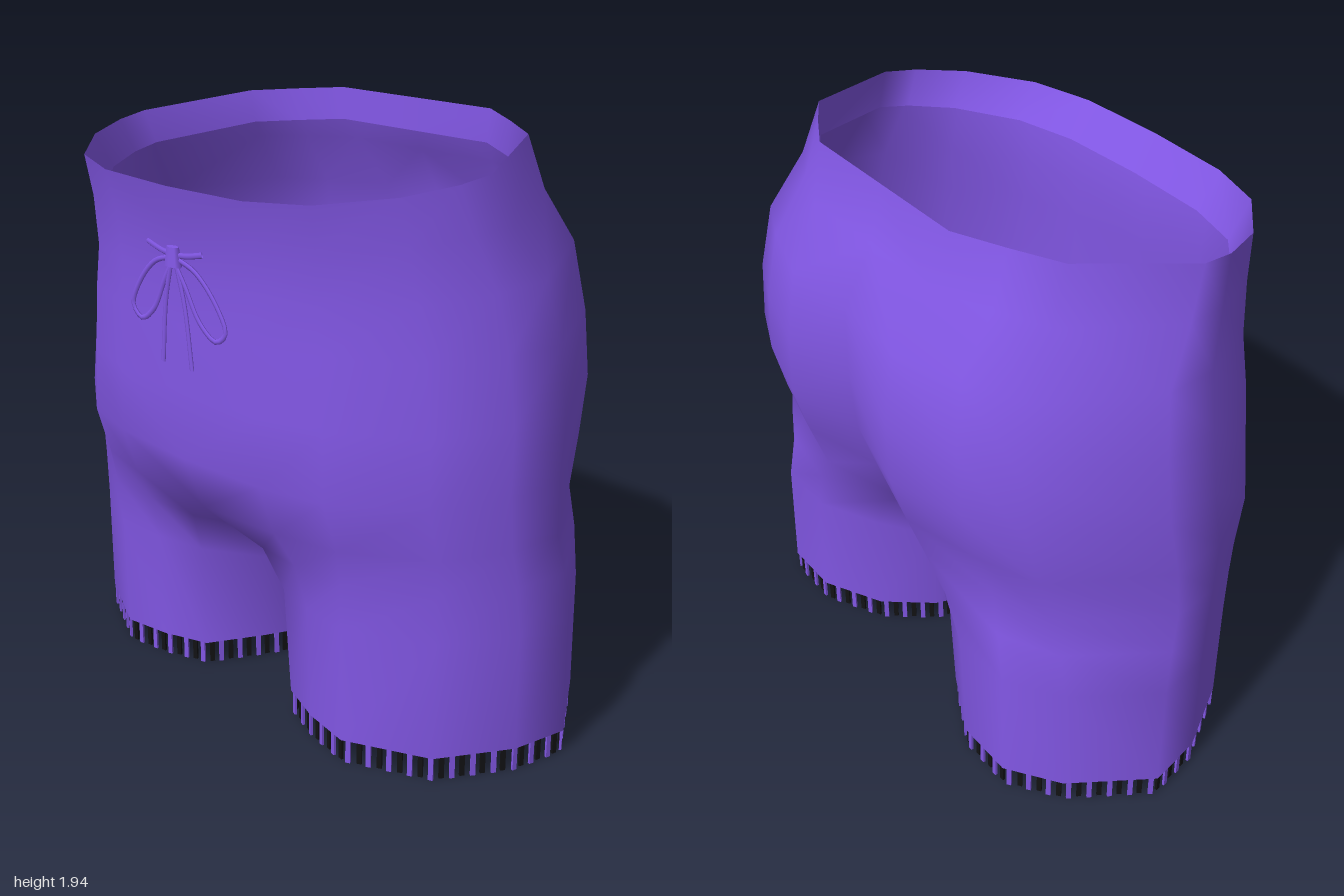
import * as THREE from 'three';
import { mergeGeometries, mergeVertices } from 'three/addons/utils/BufferGeometryUtils.js';

// Half cross-sections of the torso, front centre -> left side -> back centre
const HIPS = [[0, 1], [0.35, 0.97], [0.58, 0.88], [0.85, 0.58], [0.97, 0.2], [1, -0.13],
  [0.79, -0.74], [0.58, -0.88], [0.3, -1], [0, -0.97]];
const WAIST = [[0, 1], [0.4, 0.97], [0.66, 0.84], [0.88, 0.52], [0.97, 0.22], [0.99, 0],
  [0.79, -0.67], [0.61, -0.84], [0.42, -1], [0, -1]];

// Hem outline of the left leg; the last three points run along the inner thigh
const HEM = [[0.22, 0.35], [0.38, 0.41], [0.55, 0.44], [0.82, 0.31], [0.96, 0.08], [1, -0.11],
  [0.83, -0.37], [0.66, -0.49], [0.45, -0.49], [0.24, -0.38], [0.11, -0.22], [0.04, -0.02], [0.12, 0.16]];
const HEM_Y = 0.08;

// Torso rows: front y, back y, half width, front z, back z, share of waist section, dent at back centre
const TORSO = [
  [1.79, 1.94, 0.8, 0.63, -0.43, 1, 0],
  [1.66, 1.76, 0.83, 0.6, -0.48, 0.6, 0],
  [1.5, 1.58, 0.872, 0.59, -0.595, 0.1, 0],
  [1.36, 1.34, 0.915, 0.595, -0.632, 0, 0.03],
  [1.14, 1.13, 0.947, 0.597, -0.632, 0, 0.05],
  [0.92, 0.95, 0.963, 0.6, -0.58, 0, 0.06],
];

const mix = THREE.MathUtils.lerp;

function torsoRow([yf, yb, w, zf, zb, waist, dent]) {
  return HIPS.map(([hu, hv], i) => {
    const u = mix(hu, WAIST[i][0], waist), v = mix(hv, WAIST[i][1], waist);
    const k = (1 - v) / 2;
    return [u * w, mix(yf, yb, k), mix(zf, zb, k) + (i === 9 ? dent : 0)];
  });
}

// Skin between rows of points, on the left and mirrored to the right
function skin(rows, closed) {
  const pos = [];
  const tri = (a, b, c) => {
    pos.push(...a, ...b, ...c);
    for (const p of [a, c, b]) pos.push(-p[0], p[1], p[2]);
  };
  for (let r = 0; r < rows.length - 1; r++) {
    const n = rows[r].length;
    for (let c = 0; c < (closed ? n : n - 1); c++) {
      const k = (c + 1) % n;
      tri(rows[r][c], rows[r + 1][c], rows[r][k]);
      tri(rows[r][k], rows[r + 1][c], rows[r + 1][k]);
    }
  }
  const g = new THREE.BufferGeometry();
  g.setAttribute('position', new THREE.Float32BufferAttribute(pos, 3));
  return g;
}

function smooth(g) {
  const m = mergeVertices(g, 1e-4);
  m.computeVertexNormals();
  return m;
}

export function createModel() {
  const group = new THREE.Group();
  const purple = new THREE.MeshStandardMaterial({ color: 0x8257e5, side: THREE.DoubleSide });
  purple.name = 'purple cloth';
  const black = new THREE.MeshStandardMaterial({ color: 0x121214 });
  black.name = 'black thread';
  const add = (name, geometry, material = purple) => {
    const mesh = new THREE.Mesh(geometry, material);
    mesh.name = name;
    group.add(mesh);
    return mesh;
  };

  // Shorts: torso rows, then the crotch row, then leg rows down to the hem
  const torso = TORSO.map(torsoRow);
  const crotch = torsoRow([0.75, 0.78, 0.972, 0.54, -0.52, 0, 0]);
  crotch[0] = [0, 0.73, 0.52];
  crotch[9] = [0, 0.78, -0.43];
  const seam = [[0, 0.67, -0.24], [0, 0.62, -0.02], [0, 0.63, 0.28]];
  const legTop = [...crotch, ...seam];
  // Each leg row: fall towards the hem, spread towards the hem, spread at the front inner corner
  const legs = [[0, 0, 0], [0.18, 0.55, 0.8], [0.42, 0.9, 0.95], [1, 1, 1]].map(([t, s, corner]) =>
    legTop.map((p, i) => {
      const q = i === 11 ? t : i === 0 ? corner : s;
      return [mix(p[0], HEM[i][0], q), mix(p[1], HEM_Y, t), mix(p[2], HEM[i][1], i === 0 ? s : q)];
    }));
  add('shorts', smooth(mergeGeometries([skin([...torso, crotch], false), skin(legs, true)])));

  // Waistband folded to the inside
  add('waistFold', smooth(skin([torsoRow([1.67, 1.83, 0.785, 0.55, -0.425, 1, 0]), torso[0]], false)));

  // Hems turned to the inside
  const hemRing = (k) => HEM.map(([x, z]) => [mix(0.52, x, k), HEM_Y, mix(-0.02, z, k)]);
  add('legHems', smooth(skin([hemRing(1), hemRing(0.94)], true)));

  // Fringe: alternating purple and black strips round each hem
  const outline = new THREE.CurvePath();
  HEM.forEach(([x, z], i) => {
    const [x2, z2] = HEM[(i + 1) % HEM.length];
    outline.add(new THREE.LineCurve3(new THREE.Vector3(x, 0, z), new THREE.Vector3(x2, 0, z2)));
  });
  const COUNT = 84;
  for (const side of [1, -1]) {
    const strips = [[], []];
    for (let i = 0; i < COUNT; i++) {
      const u = (i + 0.5) / COUNT, inner = i % 2;
      const p = outline.getPointAt(u), d = outline.getTangentAt(u);
      const inset = inner ? 0.97 : 0.985;
      const strip = new THREE.BoxGeometry(0.016, 0.09, 0.008);
      strip.rotateY(Math.atan2(-d.z, d.x * side));
      strip.translate(mix(0.52, p.x, inset) * side, 0.045, mix(-0.02, p.z, inset));
      strips[inner].push(strip);
    }
    const label = side > 0 ? 'left' : 'right';
    add(label + 'PurpleFringe', mergeGeometries(strips[0]));
    add(label + 'BlackFringe', mergeGeometries(strips[1]), black);
  }

  // Drawstring bow: flat loop, tail and short cord end on each side, with a knot
  const cords = [
    [[0, 1.575], [0.1, 1.54], [0.19, 1.45], [0.222, 1.38], [0.18, 1.345], [0.11, 1.39], [0.05, 1.49], [0, 1.565]],
    [[0.01, 1.56], [0.045, 1.43], [0.07, 1.23]],
    [[0, 1.58], [0.06, 1.585], [0.13, 1.6]],
  ];
  const tubes = [];
  for (const side of [1, -1]) {
    for (const pts of cords) {
      const curve = new THREE.CatmullRomCurve3(
        pts.map(([x, y]) => new THREE.Vector3(x * side, y, -0.1 * x)));
      tubes.push(new THREE.TubeGeometry(curve, pts.length * 4, 0.009, 6, false));
    }
  }
  const cord = add('drawstring', mergeGeometries(tubes));
  cord.scale.z = 0.5;
  cord.position.z = 0.612;
  const knot = add('knot', new THREE.CylinderGeometry(0.026, 0.036, 0.06, 8));
  knot.scale.z = 0.5;
  knot.position.set(0, 1.575, 0.612);

  return group;
}
